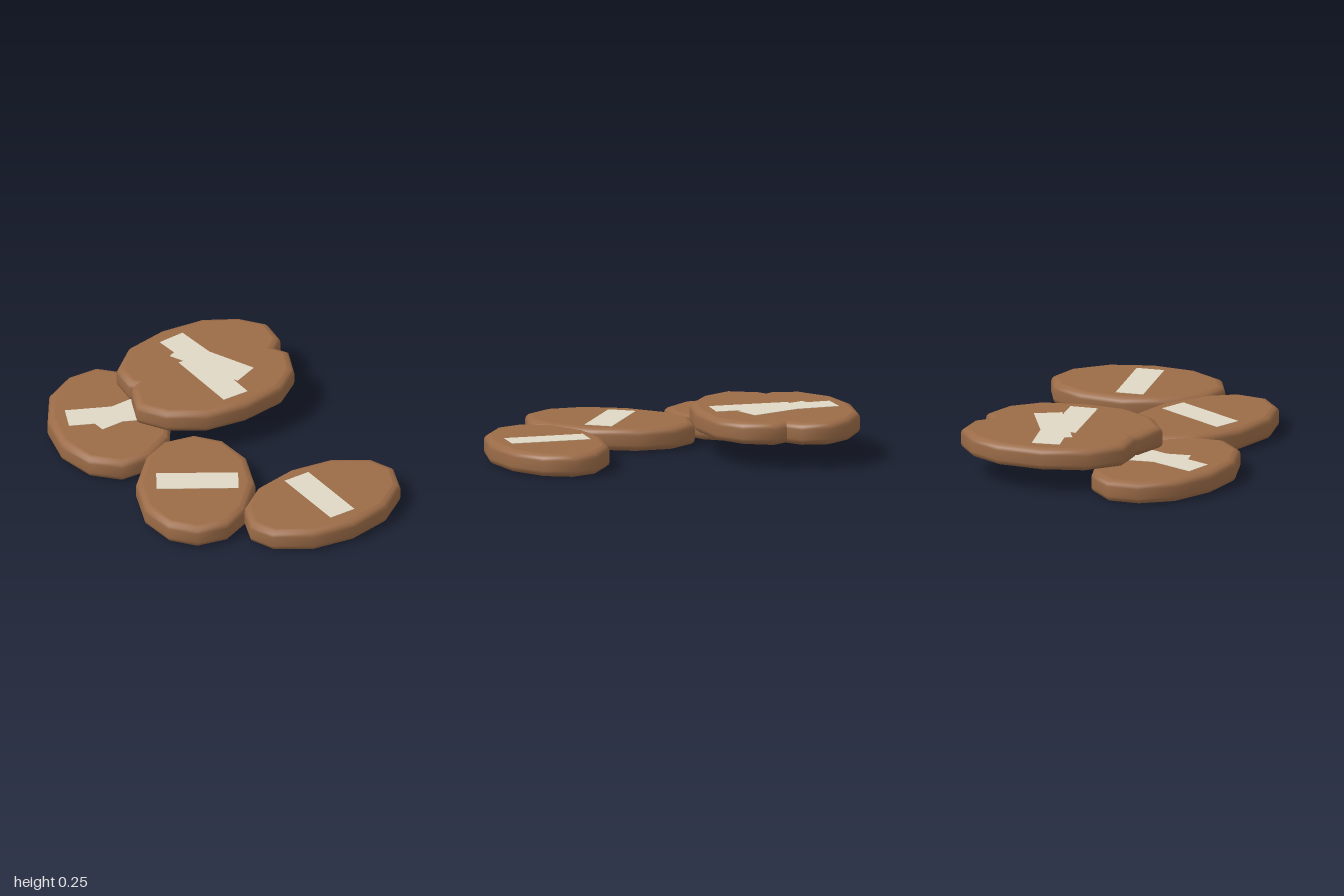
import * as THREE from 'three';

const brown = new THREE.MeshStandardMaterial({ color: 0x9b6b47 });
brown.name = 'biscuit brown';
const cream = new THREE.MeshStandardMaterial({ color: 0xe0d8c4 });
cream.name = 'cream';

const THICK = 0.12;
// bevelled edge profile: [inset, height]
const PROFILE = [[0.04, 0], [0.018, 0.006], [0.005, 0.018], [0, 0.034],
  [0, THICK - 0.034], [0.005, THICK - 0.018], [0.018, THICK - 0.006], [0.04, THICK]];

// Half outline [x, z]; the other half is its point reflection.
// bars: [x, z, degrees in the ground plane]
const biscuits = [
  { name: 'leftBiscuit', x: -0.647, z: -0.04, y: 0.002,
    half: [[0, 0.44], [0.18, 0.44], [0.30, 0.32], [0.355, 0.125], [0.305, -0.115], [0.18, -0.32]],
    bars: [[-0.655, -0.035, -22.3], [-0.565, -0.105, -50]] },
  { name: 'middleBiscuit', x: -0.053, z: 0.476, y: 0.002,
    half: [[-0.04, 0.435], [0.12, 0.45], [0.26, 0.35], [0.315, 0.19], [0.305, -0.075], [0.2, -0.305]],
    bars: [[-0.045, 0.47, -15]] },
  { name: 'rightBiscuit', x: 0.623, z: 0.446, y: 0.002,
    half: [[-0.17, 0.414], [0.04, 0.364], [0.227, 0.214], [0.35, 0.004], [0.372, -0.21], [0.3, -0.36]],
    bars: [[0.61, 0.45, 42]] },
  { name: 'upperBackBiscuit', x: -0.29, z: -0.55, y: 0.126,
    half: [[-0.13, 0.39], [0.06, 0.335], [0.25, 0.17], [0.372, -0.035], [0.382, -0.25], [0.286, -0.37]],
    bars: [[-0.295, -0.52, 38.5], [-0.2, -0.476, 20]] },
  { name: 'upperFrontBiscuit', x: -0.158, z: -0.33, y: 0.126,
    half: [[-0.325, 0.355], [-0.158, 0.395], [0.05, 0.348], [0.233, 0.2], [0.372, -0.01], [0.393, -0.193]],
    bars: [[-0.158, -0.337, 42.8]] },
];

// Loft the outline through the profile; caps keep their own flat normals
function biscuitGeometry(half) {
  const outline = [...half, ...half.map(([x, z]) => [-x, -z])];
  const n = outline.length;
  const pos = [];
  const index = [];
  const ring = ([inset, y]) => {
    for (const [x, z] of outline) {
      const k = 1 - inset / Math.hypot(x, z);
      pos.push(x * k, y, z * k);
    }
  };
  PROFILE.forEach(ring);
  for (let r = 0; r < PROFILE.length - 1; r++) {
    for (let i = 0; i < n; i++) {
      const a = r * n + i, b = r * n + (i + 1) % n;
      index.push(a, b, b + n, a, b + n, a + n);
    }
  }
  for (const top of [false, true]) {
    const start = pos.length / 3;
    const edge = PROFILE[top ? PROFILE.length - 1 : 0];
    ring(edge);
    pos.push(0, edge[1], 0);
    for (let i = 0; i < n; i++) {
      const a = start + i, b = start + (i + 1) % n;
      index.push(start + n, top ? a : b, top ? b : a);
    }
  }
  const g = new THREE.BufferGeometry();
  g.setAttribute('position', new THREE.Float32BufferAttribute(pos, 3));
  g.setIndex(index);
  g.computeVertexNormals();
  return g;
}

export function createModel() {
  const model = new THREE.Group();
  model.name = 'biscuitPile';
  const barGeometry = new THREE.BoxGeometry(0.43, 0.004, 0.15);

  for (const { name, x, z, y, half, bars } of biscuits) {
    const group = new THREE.Group();
    group.name = name;
    const body = new THREE.Mesh(biscuitGeometry(half), brown);
    body.name = 'biscuitBody';
    body.position.set(x, y, z);
    group.add(body);

    // cream bars on the upper and lower faces
    for (const [bx, bz, degrees] of bars) {
      for (const by of [y, y + THICK]) {
        const bar = new THREE.Mesh(barGeometry, cream);
        bar.name = by === y ? 'lowerBar' : 'upperBar';
        bar.position.set(bx, by, bz);
        bar.rotation.y = -THREE.MathUtils.degToRad(degrees);
        group.add(bar);
      }
    }
    model.add(group);
  }
  return model;
}
